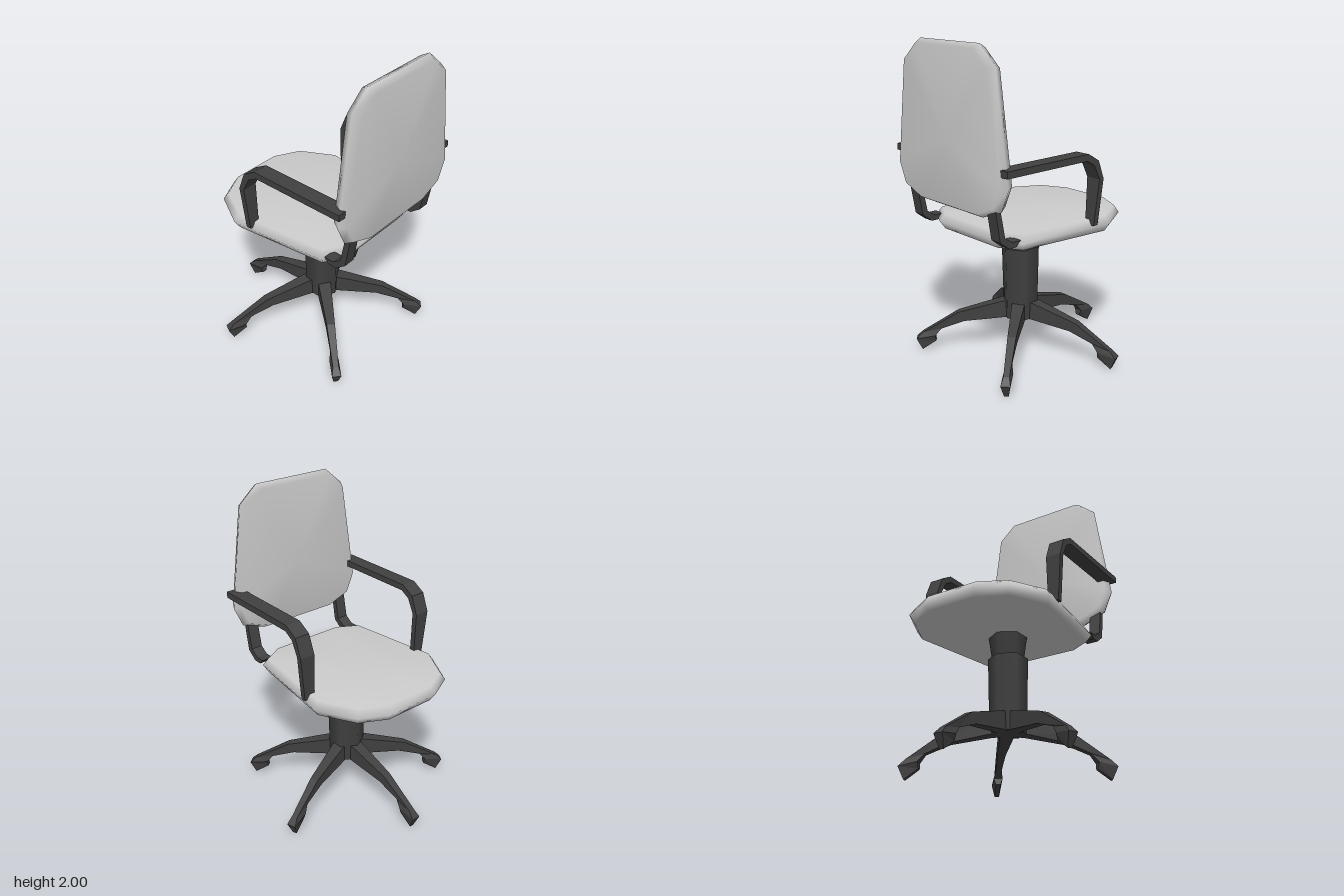
import * as THREE from 'three';

const CX = -0.017; // shared centre line of the chair
const HUB_Z = 0.053; // column axis

const fabric = new THREE.MeshStandardMaterial({ color: 0xcccccc });
const plastic = new THREE.MeshStandardMaterial({ color: 0x404040 });
const plasticFlat = new THREE.MeshStandardMaterial({ color: 0x404040, flatShading: true });

// Closed solid through rings of equal length, capped by a fan at each end
function loft(rings) {
  const n = rings[0].length, last = (rings.length - 1) * n;
  const pts = rings.flat();
  const mid = (r) => [0, 1, 2].map((k) => r.reduce((s, p) => s + p[k], 0) / n);
  pts.push(mid(rings[0]), mid(rings[rings.length - 1]));
  const a = pts.length - 2, b = pts.length - 1;
  let tris = [];
  for (let j = 0; j < n; j++) {
    const k = (j + 1) % n;
    for (let i = 0; i < last; i += n) {
      tris.push([i + j, i + k, i + n + k], [i + j, i + n + k, i + n + j]);
    }
    tris.push([a, k, j], [b, last + j, last + k]);
  }
  // Turn the faces outward when the enclosed volume comes out negative
  const v = pts.map((p) => new THREE.Vector3(...p));
  const volume = tris.reduce((s, [p, q, r]) => s + v[p].dot(v[q].clone().cross(v[r])), 0);
  if (volume < 0) tris = tris.map(([p, q, r]) => [p, r, q]);
  const g = new THREE.BufferGeometry().setFromPoints(v);
  g.setIndex(tris.flat());
  g.computeVertexNormals();
  return g;
}

// Bar of rectangular section: rows of [z1, y1, z2, y2, xInner, xOuter]
function bar(rows, side = 1) {
  return loft(rows.map(([z1, y1, z2, y2, xa, xb]) => [
    [side * xa, y1, z1], [side * xb, y1, z1], [side * xb, y2, z2], [side * xa, y2, z2],
  ]));
}

// Cushion with a bevelled rim, from half an outline [x, v], lying in x-v
function cushion(half, thickness, inset) {
  const outline = [...half, ...half.map(([x, v]) => [-x, v]).reverse()];
  const vs = half.map((p) => p[1]);
  const v0 = (Math.min(...vs) + Math.max(...vs)) / 2;
  const halfV = Math.max(...vs) - v0;
  const halfX = Math.max(...half.map((p) => p[0]));
  return loft([[-1, inset], [0, 0], [1, inset]].map(([t, d]) => outline.map(([x, v]) => [
    x * (1 - d / halfX), v0 + (v - v0) * (1 - d / halfV), (t * thickness) / 2,
  ])));
}

export function createModel() {
  const model = new THREE.Group();
  const add = (name, geometry, material, x = CX, y = 0, z = 0) => {
    const mesh = new THREE.Mesh(geometry, material);
    mesh.name = name;
    mesh.position.set(x, y, z);
    model.add(mesh);
    return mesh;
  };

  // Seat, outline in x-z
  const seat = cushion(
    [[0.178, -0.56], [0.355, -0.47], [0.48, -0.24], [0.40, 0.40], [0.26, 0.48]], 0.095, 0.03);
  seat.rotateX(Math.PI / 2);
  add('seat', seat, fabric, CX, 0.892);

  // Backrest, outline in x-y
  const back = cushion(
    [[0.263, 2.0], [0.385, 1.895], [0.478, 1.245], [0.42, 1.115], [0.263, 1.055]], 0.095, 0.025);
  add('backrest', back, fabric, CX, 0, 0.572);

  // Armrests and the brackets holding the backrest
  const arm = [
    [0.60, 1.36, 0.60, 1.32, 0.405, 0.502],
    [-0.02, 1.36, -0.01, 1.32, 0.405, 0.502],
    [-0.105, 1.31, -0.07, 1.285, 0.405, 0.502],
    [-0.15, 1.195, -0.115, 1.195, 0.405, 0.502],
    [-0.14, 0.905, -0.105, 0.905, 0.405, 0.473],
  ];
  const bracket = [
    [0.44, 0.885, 0.41, 0.918],
    [0.495, 0.885, 0.47, 0.918],
    [0.56, 0.935, 0.525, 0.955],
    [0.59, 1.11, 0.555, 1.11],
    [0.58, 1.19, 0.565, 1.19],
  ].map((r) => [...r, 0.32, 0.395]);
  for (const [label, side] of [['left', 1], ['right', -1]]) {
    add(label + 'Armrest', bar(arm, side), plasticFlat);
    add(label + 'BackBracket', bar(bracket, side), plasticFlat);
  }

  // Six-sided column and the flared collar under the seat
  add('column', new THREE.CylinderGeometry(0.122, 0.111, 0.47, 6), plastic, CX, 0.47, HUB_Z);
  add('seatCollar', new THREE.CylinderGeometry(0.12, 0.096, 0.16, 6), plastic, CX, 0.775, HUB_Z);

  // Five splayed legs ending in pointed feet, each aimed along [x, z]
  const leg = bar([
    [0, 0.35, 0, 0.23, -0.04, 0.04],
    [0.11, 0.342, 0.11, 0.23, -0.04, 0.04],
    [0.40, 0.26, 0.36, 0.20, -0.026, 0.026],
    [0.63, 0.12, 0.51, 0.145, -0.018, 0.018],
    [0.67, 0.08, 0.55, 0.10, -0.029, 0.029],
    [0.635, 0.0, 0.545, 0.06, -0.014, 0.014],
  ]);
  const aims = [[-0.008, -0.67], [-0.593, -0.303], [0.632, -0.223], [-0.44, 0.5], [0.43, 0.51]];
  aims.forEach(([x, z], i) => {
    add('baseLeg' + (i + 1), leg, plasticFlat, CX, 0, HUB_Z).rotation.y = Math.atan2(x, z);
  });

  return model;
}
